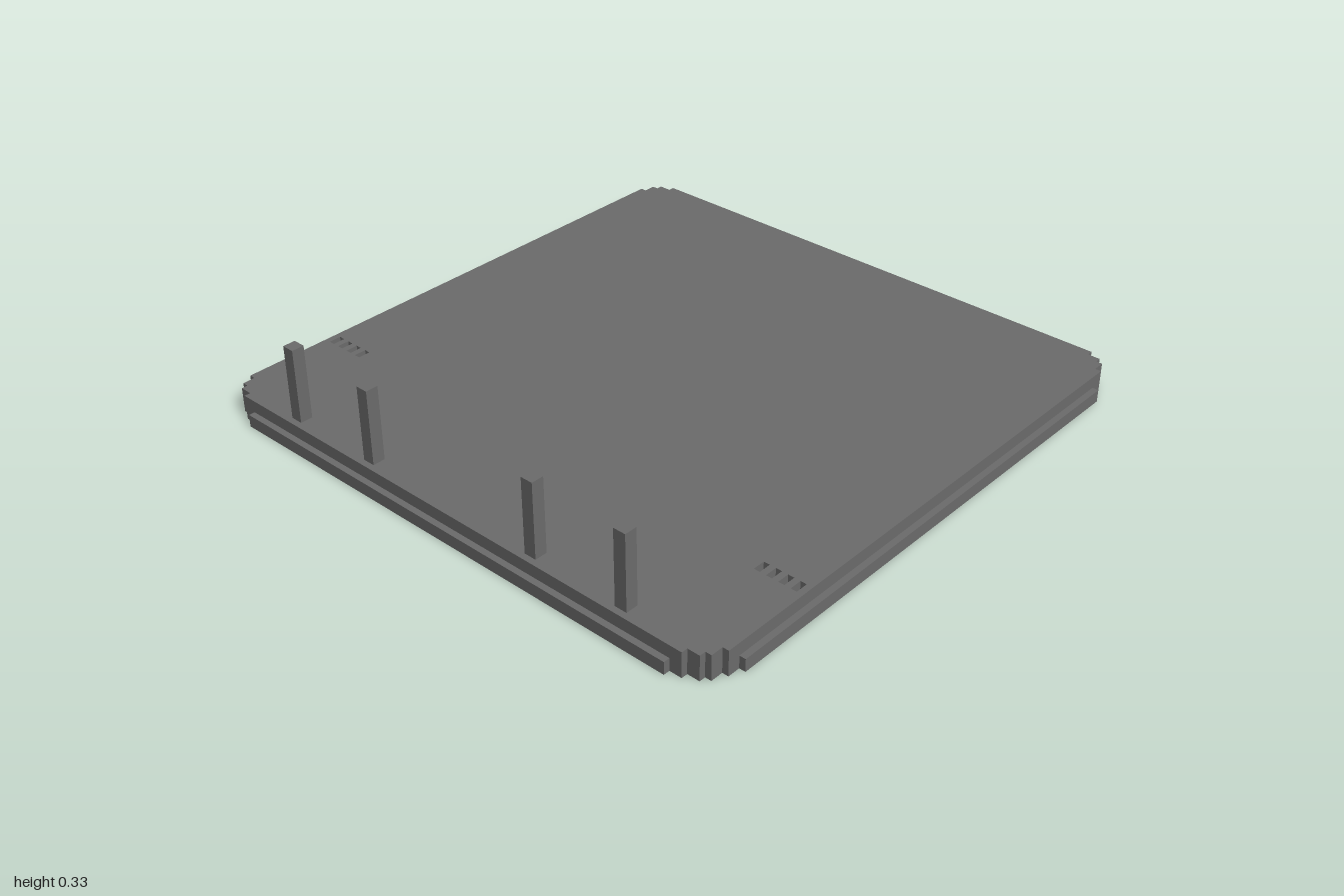
import * as THREE from 'three';

const U = 1 / 24; // one block
const H = U / 2;

// Full rectangular outline with stepped corners, limited to +-limit
function steppedPoints(limit) {
  const corner = [
    [1, 1 - 7 * H], [1 - H, 1 - 7 * H], [1 - H, 1 - 5 * H], [1 - 2 * H, 1 - 5 * H],
    [1 - 2 * H, 1 - 3 * H], [1 - 3 * H, 1 - 3 * H], [1 - 3 * H, 1 - 2 * H],
    [1 - 5 * H, 1 - 2 * H], [1 - 5 * H, 1 - H], [1 - 7 * H, 1 - H], [1 - 7 * H, 1],
  ].map(([x, y]) => [Math.min(x, limit), Math.min(y, limit)])
    .filter((p, i, a) => i === 0 || p[0] !== a[i - 1][0] || p[1] !== a[i - 1][1]);
  const points = [];
  for (const [sx, sy] of [[1, 1], [-1, 1], [-1, -1], [1, -1]]) {
    const part = corner.map(([x, y]) => new THREE.Vector2(sx * x, sy * y));
    if (sx * sy < 0) part.reverse();
    points.push(...part);
  }
  return points;
}

// Rectangular hole, centred on x, z in the model's frame
function slot(x, z, w, d) {
  const hole = new THREE.Path();
  hole.moveTo(x - w / 2, -z - d / 2);
  hole.lineTo(x - w / 2, -z + d / 2);
  hole.lineTo(x + w / 2, -z + d / 2);
  hole.lineTo(x + w / 2, -z - d / 2);
  hole.closePath();
  return hole;
}

export function createModel() {
  const group = new THREE.Group();
  const grey = new THREE.MeshStandardMaterial({ color: 0x6b6b6b });
  grey.name = 'stone grey';

  function addLayer(name, limit, y, holes = []) {
    const shape = new THREE.Shape(steppedPoints(limit));
    shape.holes.push(...holes);
    const geometry = new THREE.ExtrudeGeometry(shape, { depth: U, bevelEnabled: false });
    geometry.rotateX(-Math.PI / 2);
    const mesh = new THREE.Mesh(geometry, grey);
    mesh.name = name;
    mesh.position.y = y;
    group.add(mesh);
  }

  // Four narrow recesses near each side edge
  const slots = [];
  for (const side of [-1, 1]) {
    for (let i = 0; i < 4; i++) slots.push(slot(side * (1 - 2.5 * H - i * U), 14 * U - H / 4, H, U));
  }

  // Slab in two layers, the lower one slightly wider
  addLayer('lowerSlab', 1, 0);
  addLayer('upperSlab', 1 - H, U, slots);

  // Row of posts along the front
  const postGeometry = new THREE.BoxGeometry(U, 6 * U, U);
  for (const x of [-16, -8, 8, 16]) {
    const post = new THREE.Mesh(postGeometry, grey);
    post.name = 'post';
    post.position.set(x * U, 5 * U, 1 - 3 * H);
    group.add(post);
  }

  return group;
}
